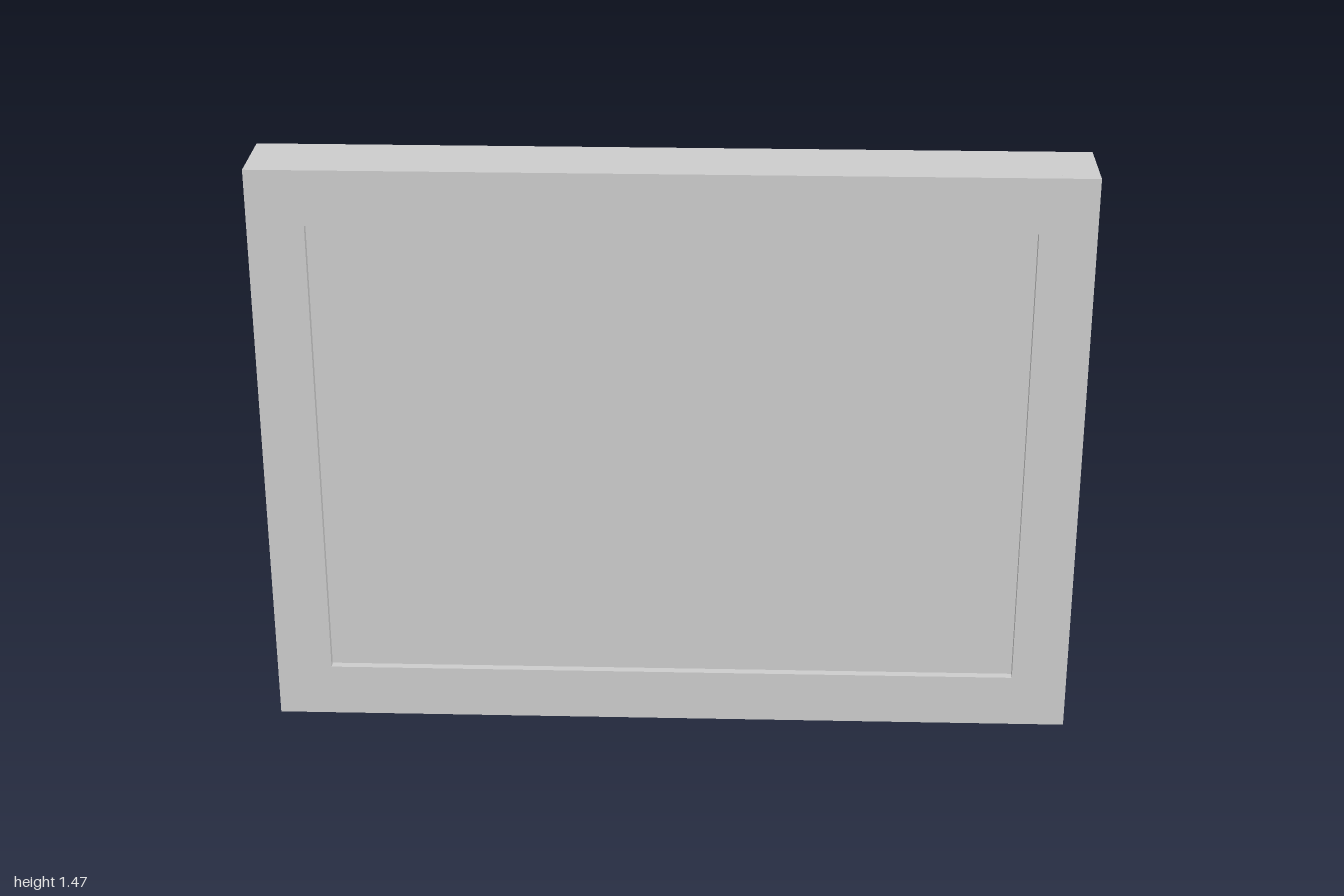
import * as THREE from 'three';

const material = new THREE.MeshStandardMaterial({ color: 0xcccccc, flatShading: true });

const polygon = (Base, points) => new Base(points.map(([x, y]) => new THREE.Vector2(x, y)));
const rect = (Base, w, y0, y1) => polygon(Base, [[-w, y0], [w, y0], [w, y1], [-w, y1]]);

function addExtrusion(group, name, shape, depth) {
  const geometry = new THREE.ExtrudeGeometry(shape, { depth, bevelEnabled: false });
  const mesh = new THREE.Mesh(geometry, material);
  mesh.name = name;
  group.add(mesh);
  return mesh;
}

export function createModel() {
  const group = new THREE.Group();
  group.name = 'pictureFrame';
  const back = 0.212, front = 0.403, recess = 0.02;
  const opening = { w: 0.863, y0: 0.138, y1: 1.333 };

  // Solid backing slab
  const backing = addExtrusion(group, 'backing',
    rect(THREE.Shape, 1, 0.003, 1.472), front - recess - back);
  backing.position.z = back;

  // Raised border around the recessed picture area
  const outline = rect(THREE.Shape, 1, 0.003, 1.472);
  outline.holes.push(rect(THREE.Path, opening.w, opening.y0, opening.y1));
  const border = addExtrusion(group, 'border', outline, recess);
  border.position.z = front - recess;

  // Slanted rear leg: profile drawn in (-z, y), then turned to run across x
  const legWidth = 0.168;
  const profile = polygon(THREE.Shape,
    [[-back, 0.982], [0.322, 0], [0.403, 0], [-back, 1.117]]);
  const leg = addExtrusion(group, 'rearLeg', profile, legWidth);
  leg.rotation.y = Math.PI / 2;
  leg.position.x = -legWidth / 2;

  return group;
}
